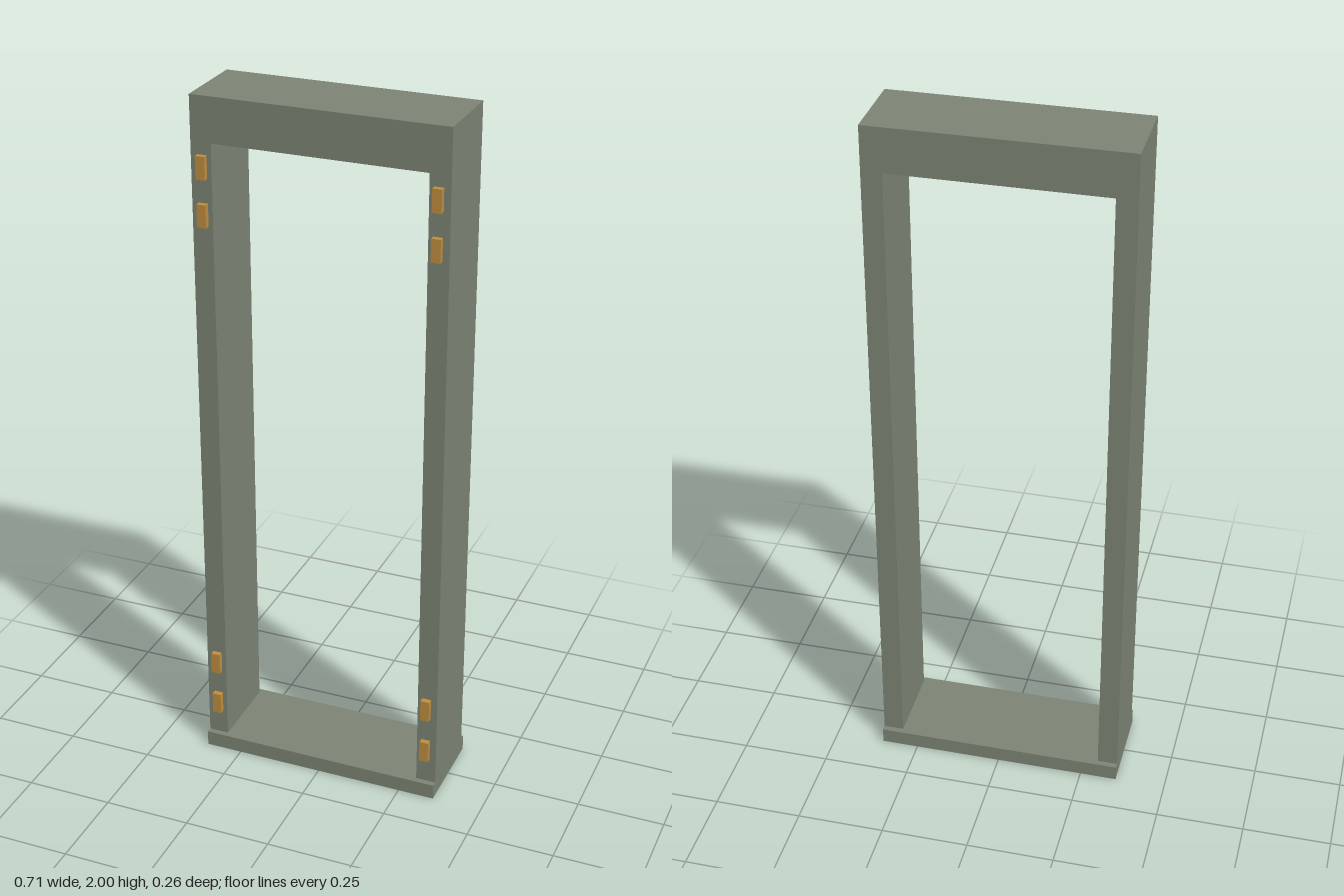
import * as THREE from 'three';

const W = 0.356, IN = 0.298, H = 2, HEAD = 1.875, SILL = 0.045;
const DEPTH = 0.23, SILL_DEPTH = 0.264;

export function createModel() {
  const group = new THREE.Group();
  const paint = new THREE.MeshStandardMaterial({ color: 0x7d8575 });
  const brass = new THREE.MeshStandardMaterial({ color: 0xc08f40 });

  const add = (name, geometry, material, x = 0, y = 0, z = 0) => {
    const mesh = new THREE.Mesh(geometry, material);
    mesh.name = name;
    mesh.position.set(x, y, z);
    group.add(mesh);
  };

  // Two jambs and the deep header as one upside-down U
  const outline = new THREE.Shape([
    [-W, SILL], [-IN, SILL], [-IN, HEAD], [IN, HEAD],
    [IN, SILL], [W, SILL], [W, H], [-W, H],
  ].map(([x, y]) => new THREE.Vector2(x, y)));
  add('doorFrame', new THREE.ExtrudeGeometry(outline, { depth: DEPTH, bevelEnabled: false }),
    paint, 0, 0, -DEPTH / 2);

  // Threshold, slightly proud at front and back
  add('threshold', new THREE.BoxGeometry(2 * W, SILL, SILL_DEPTH), paint, 0, SILL / 2, 0);

  // Hinge plates in pairs on the front of both jambs
  const plate = new THREE.BoxGeometry(0.026, 0.064, 0.016);
  for (const [side, x] of [['left', 0.324], ['right', -0.324]]) {
    [0.153, 0.292, 1.678, 1.81].forEach((y, i) =>
      add(`${side}HingePlate${i + 1}`, plate, brass, x, y, DEPTH / 2 + 0.008));
  }
  return group;
}
